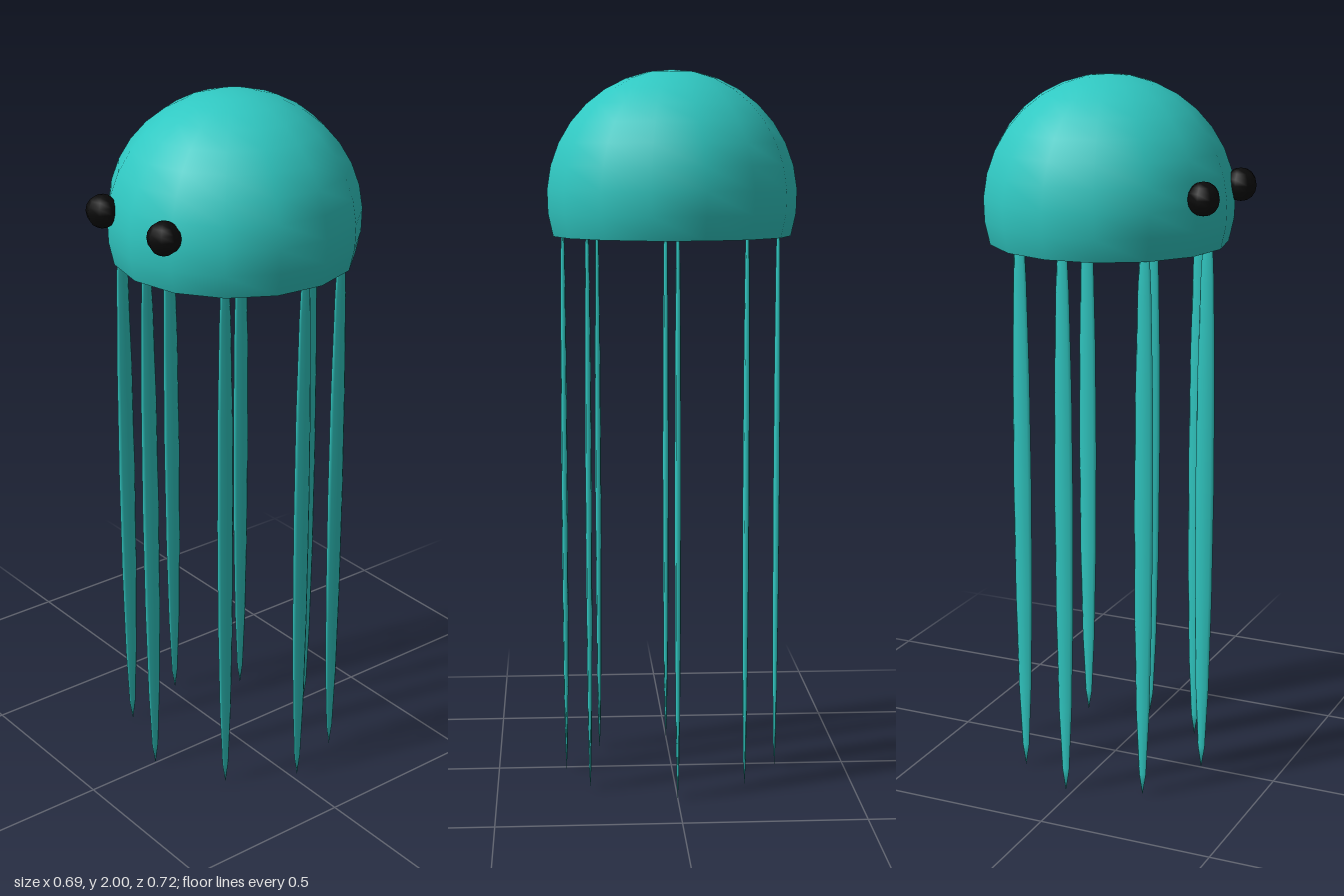
import * as THREE from 'three';

const SIDES = 15;
const RADIUS = 0.35;
const CENTER = new THREE.Vector3(0, 1.65, -0.02);
const CUT = Math.PI * 0.6; // polar angle where the bell is cut off

export function createModel() {
  const model = new THREE.Group();
  model.name = 'jellyfish';
  const teal = new THREE.MeshStandardMaterial({ color: 0x30c8c2 });
  const black = new THREE.MeshStandardMaterial({ color: 0x0a0a0a });

  const add = (name, geometry, material, x, y, z) => {
    const mesh = new THREE.Mesh(geometry, material);
    mesh.name = name;
    mesh.position.set(x, y, z);
    model.add(mesh);
    return mesh;
  };

  // Bell: a sphere cut a little below its equator, closed by a flat underside
  const bell = new THREE.SphereGeometry(RADIUS, SIDES, 10, Math.PI / 2, Math.PI * 2, 0, CUT);
  add('bell', bell, teal, CENTER.x, CENTER.y, CENTER.z);
  const underside = new THREE.CircleGeometry(RADIUS * Math.sin(CUT), SIDES, Math.PI / 2);
  underside.rotateX(Math.PI / 2);
  add('bellUnderside', underside, teal, CENTER.x, CENTER.y + RADIUS * Math.cos(CUT), CENTER.z);

  // Eyes
  const eye = new THREE.SphereGeometry(0.046, 8, 8);
  add('leftEye', eye, black, 0.138, 1.7, 0.316);
  add('rightEye', eye, black, -0.138, 1.7, 0.316);

  // Tentacles: long flattened spindles in a slightly uneven ring, tops inside the bell
  const tentacle = new THREE.SphereGeometry(1, 8, 8);
  tentacle.scale(0.009, 0.85, 0.028);
  const ring = [
    [0, 0.275], [0.205, 0.17], [0.305, -0.02], [0.24, -0.2],
    [0, -0.3], [-0.195, -0.2], [-0.3, -0.02], [-0.235, 0.19],
  ];
  ring.forEach(([x, z], i) => add(`tentacle${i + 1}`, tentacle, teal, x, 0.85, z));

  return model;
}
